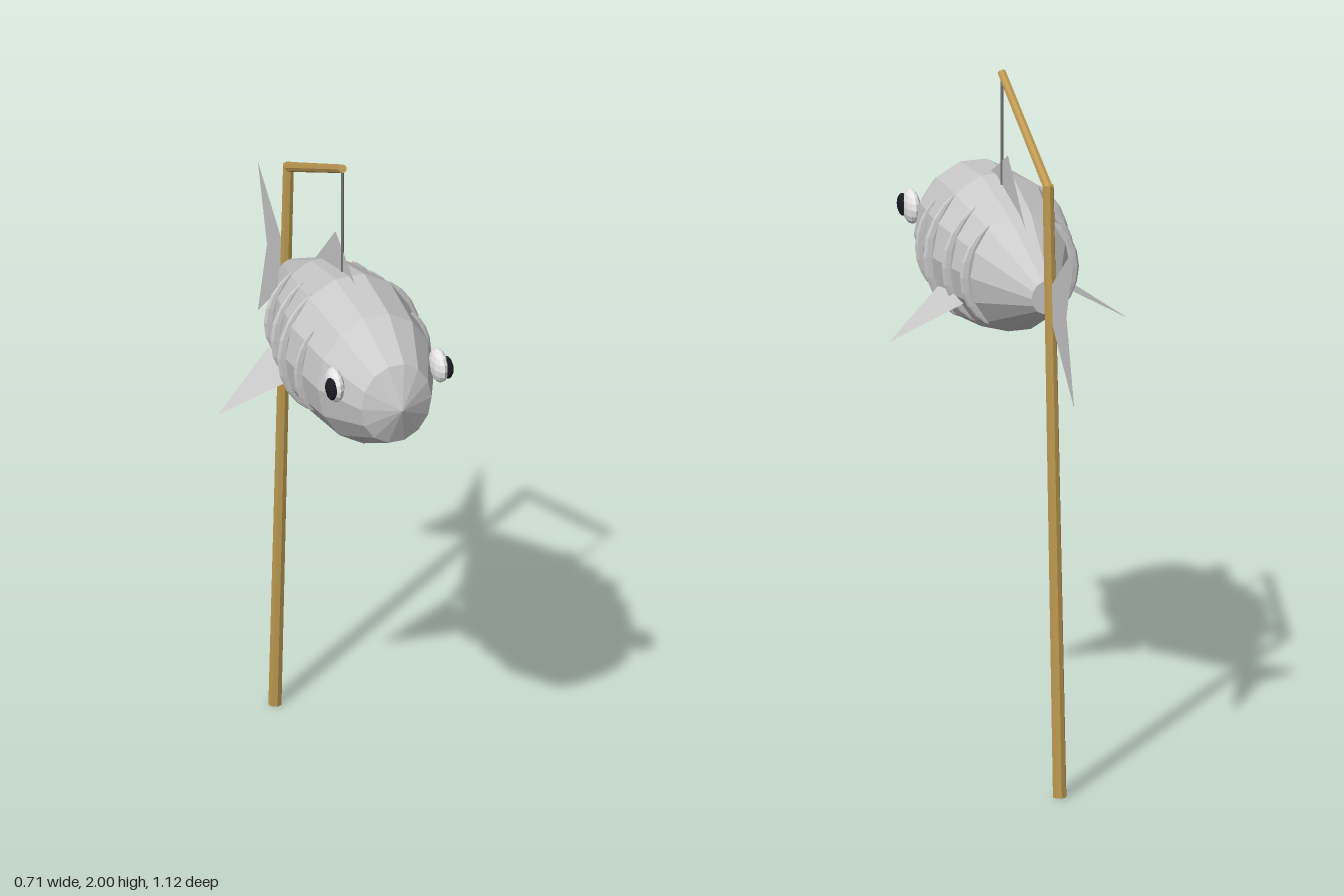
import * as THREE from 'three';

const mat = (name, color, extra = {}) => {
  const m = new THREE.MeshStandardMaterial({ color, flatShading: true, ...extra });
  m.name = name;
  return m;
};

export function createModel() {
  const group = new THREE.Group();
  group.name = 'hangingFish';

  const skin = mat('fishGrey', 0xcacaca);
  const fin = mat('finGrey', 0xcacaca, { side: THREE.DoubleSide });
  const white = mat('eyeWhite', 0xf8f8f8);
  const black = mat('pupilBlack', 0x1a1a22);
  const wood = mat('wood', 0xbe9a52);
  const cord = mat('cord', 0x747474);

  const add = (name, geo, material) => {
    const mesh = new THREE.Mesh(geo, material);
    mesh.name = name;
    group.add(mesh);
    return mesh;
  };

  // round bar between two points
  const bar = (name, a, b, ra, rb, sides, material) => {
    const from = new THREE.Vector3(...a), to = new THREE.Vector3(...b);
    const dir = to.clone().sub(from);
    const mesh = add(name, new THREE.CylinderGeometry(rb, ra, dir.length(), sides), material);
    mesh.position.copy(from).add(to).multiplyScalar(0.5);
    mesh.quaternion.setFromUnitVectors(new THREE.Vector3(0, 1, 0), dir.normalize());
  };

  // flat sheet from a list of triangles
  const sheet = (name, points) => {
    const geo = new THREE.BufferGeometry();
    geo.setAttribute('position', new THREE.Float32BufferAttribute(points.flat(), 3));
    geo.computeVertexNormals();
    add(name, geo, fin);
  };

  // flattened low-poly ball
  const ball = (name, center, radii, w, h, material) => {
    const mesh = add(name, new THREE.SphereGeometry(1, w, h).scale(...radii), material);
    mesh.position.set(...center);
  };

  // body: 14-sided profile along z, narrowed sideways
  const midY = 1.446, narrow = 0.857;
  const profile = [
    [0, -0.305], [0.049, -0.305], [0.177, -0.065], [0.23, 0.15],
    [0.206, 0.355], [0.125, 0.513], [0, 0.562],
  ].map(([r, z]) => new THREE.Vector2(r, z));
  const bodyGeo = new THREE.LatheGeometry(profile, 14, Math.PI / 14)
    .rotateX(Math.PI / 2).scale(narrow, 1, 1);
  add('body', bodyGeo, skin).position.y = midY;

  // spindle bent around the body's cross-section of radius r
  const gill = (name, s, z, r, halfHeight, halfDepth) => {
    const geo = new THREE.SphereGeometry(1, 8, 10).scale(0.022, halfHeight, halfDepth);
    const pos = geo.attributes.position;
    for (let i = 0; i < pos.count; i++) {
      const bend = narrow * Math.sqrt(r * r - pos.getY(i) ** 2);
      pos.setX(i, pos.getX(i) + s * bend);
    }
    geo.computeVertexNormals();
    add(name, geo, skin).position.set(0, midY, z);
  };

  // tail and dorsal fin
  const root = [0, 1.447, -0.295], notch = [0, 1.447, -0.492];
  sheet('tailFin', [root, notch, [0, 1.677, -0.563], root, [0, 1.196, -0.563], notch]);
  sheet('dorsalFin', [[0, 1.65, 0.22], [0, 1.76, 0.04], [0, 1.59, -0.12]]);

  // gill ridges: z, body radius, half height, half thickness
  const gills = [
    [0.25, 0.217, 0.13, 0.007],
    [0.145, 0.228, 0.187, 0.01],
    [0.04, 0.204, 0.17, 0.01],
    [-0.063, 0.181, 0.148, 0.01],
  ];
  for (const [side, s] of [['left', 1], ['right', -1]]) {
    sheet(side + 'Fin', [
      [s * 0.165, 1.368, 0.14], [s * 0.355, 1.24, 0.04], [s * 0.165, 1.368, -0.06],
    ]);
    gills.forEach(([z, r, h, d], i) => gill(`${side}Gill${i + 1}`, s, z, r, h, d));
    ball(side + 'Eye', [s * 0.158, 1.5, 0.437], [0.024, 0.05, 0.051], 12, 8, white);
    ball(side + 'Pupil', [s * 0.176, 1.5, 0.459], [0.015, 0.033, 0.03], 10, 8, black);
  }

  // leaning pole, angled rod and hanging line
  bar('pole', [0, 0, -0.43], [0, 1.788, -0.325], 0.02, 0.0165, 8, wood);
  bar('rod', [0, 1.777, -0.332], [0, 1.989, 0.096], 0.0145, 0.0125, 8, wood);
  bar('line', [0, 1.65, 0.095], [0, 1.985, 0.095], 0.004, 0.004, 6, cord);

  return group;
}
